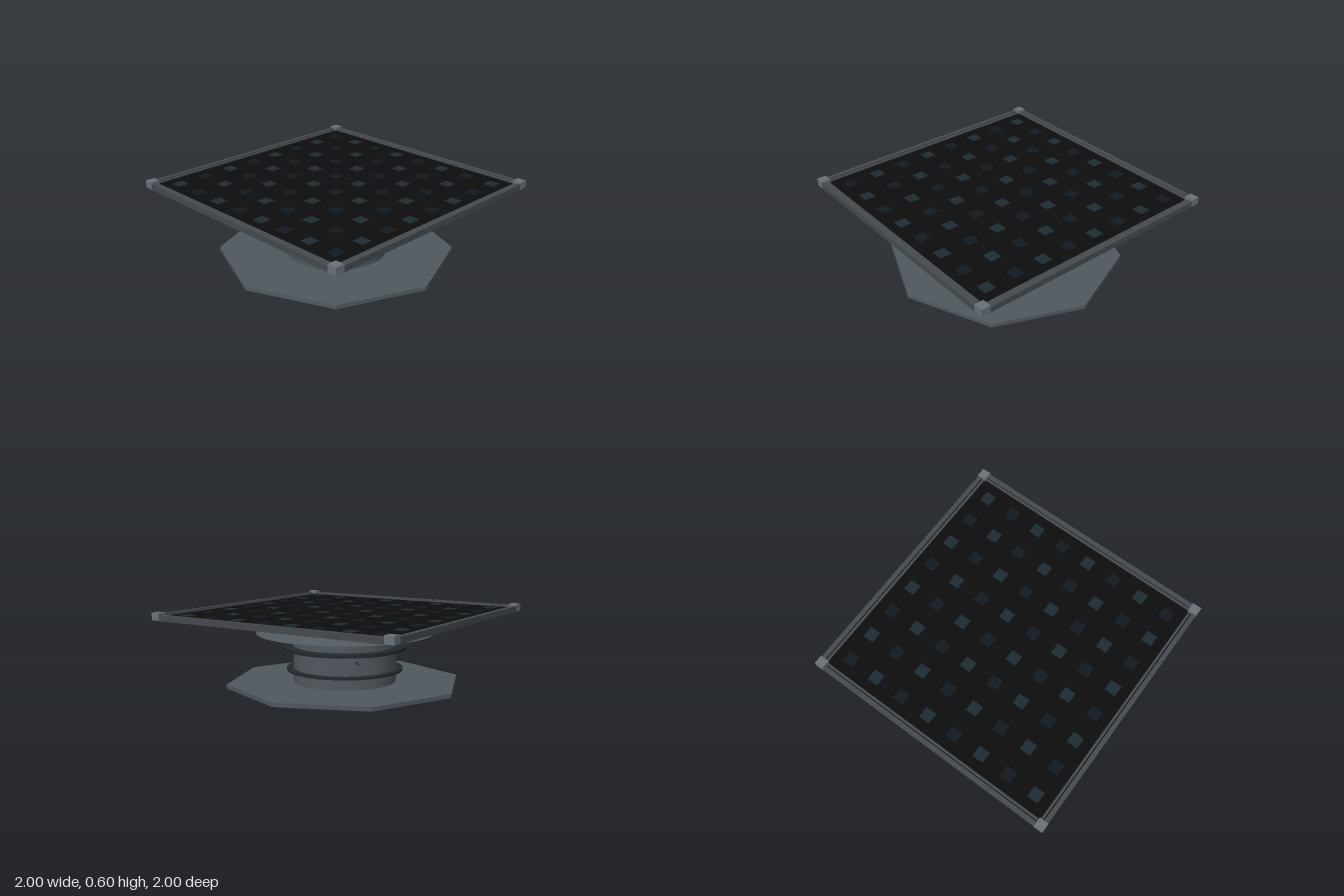
import * as THREE from 'three';

const mat = (color, flatShading = false) => new THREE.MeshStandardMaterial({ color, flatShading });
const body = mat(0x50585e), bodyFlat = mat(0x50585e, true), dark = mat(0x24282b), black = mat(0x0d0d0d);
const under = mat(0x222327), frame = mat(0x454a4e), corner = mat(0x687078), foot = mat(0x23292d);
const tileBright = mat(0x1b2c32), tileDim = mat(0x111a21);

export function createModel() {
  const model = new THREE.Group();

  const add = (name, geometry, material, x, y, z, parent = model) => {
    const mesh = new THREE.Mesh(geometry, material);
    mesh.name = name;
    mesh.position.set(x, y, z);
    parent.add(mesh);
    return mesh;
  };
  // Round part between two heights
  const round = (name, rTop, rBottom, y0, y1, sides, material) =>
    add(name, new THREE.CylinderGeometry(rTop, rBottom, y1 - y0, sides), material, 0, (y0 + y1) / 2, 0);
  // Box between two heights
  const box = (name, w, d, y0, y1, material, x, z, parent) =>
    add(name, new THREE.BoxGeometry(w, y1 - y0, d), material, x, (y0 + y1) / 2, z, parent);

  // Foot, octagonal base and column
  round('footDisc', 0.805, 0.805, 0, 0.02, 48, foot);
  round('basePlate', 0.895, 0.895, 0.02, 0.05, 8, bodyFlat);
  round('column', 0.39, 0.39, 0.05, 0.42, 32, body);
  round('lowerRing', 0.44, 0.44, 0.135, 0.152, 48, dark);
  round('upperRing', 0.465, 0.465, 0.297, 0.32, 48, dark);
  round('flaredCollar', 0.45, 0.668, 0.418, 0.52, 48, body);

  // Thin diagonal fins on the column
  for (let i = 0; i < 4; i++) {
    const a = Math.PI / 4 + i * Math.PI / 2;
    const fin = box('columnFin', 0.11, 0.01, 0.25, 0.257, dark, 0.43 * Math.cos(a), 0.43 * Math.sin(a));
    fin.rotation.y = -a;
  }

  // Square top panel
  const top = new THREE.Group();
  top.name = 'topPanel';
  model.add(top);
  box('panelUnderside', 1.87, 1.87, 0.537, 0.55, under, 0, 0, top);
  box('panelSurface', 1.95, 1.95, 0.548, 0.572, black, 0, 0, top);

  // Frame: outer rail, inner trim and a corner block on each side
  for (let i = 0; i < 4; i++) {
    const side = new THREE.Group();
    side.name = 'frameSide';
    side.rotation.y = i * Math.PI / 2;
    top.add(side);
    box('outerRail', 1.87, 0.033, 0.543, 0.587, frame, 0, 0.981, side);
    box('innerTrim', 1.87, 0.018, 0.56, 0.58, frame, 0, 0.948, side);
    box('cornerBlock', 0.07, 0.07, 0.545, 0.6, corner, 0.965, 0.965, side);
  }

  // Checkered grid of inlaid tiles
  const tile = new THREE.BoxGeometry(0.086, 0.006, 0.086);
  for (let row = 0; row < 8; row++) {
    for (let col = 0; col < 8; col++) {
      const bright = (row + col) % 2 === 1;
      add('tile', tile, bright ? tileBright : tileDim, (col - 3.5) * 0.234, 0.572, (row - 3.5) * 0.234, top);
    }
  }
  return model;
}
